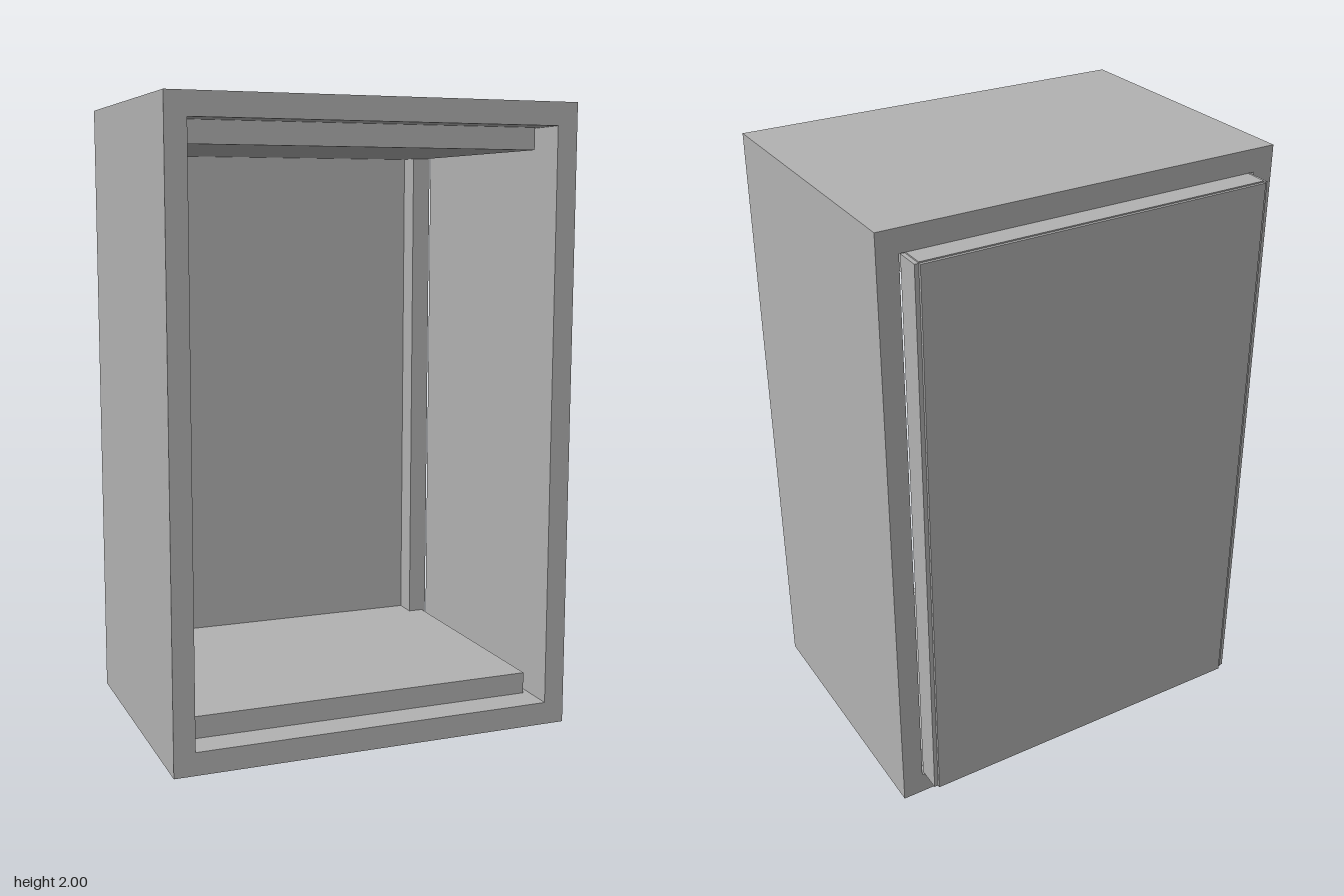
import * as THREE from 'three';

export function createModel() {
  const model = new THREE.Group();
  model.name = 'cabinet';
  const grey = new THREE.MeshStandardMaterial({ color: 0xb2b2b2 });
  grey.name = 'plain grey';

  // Box given by its lower and upper limits on each axis
  const board = (name, [x0, x1], [y0, y1], [z0, z1]) => {
    const mesh = new THREE.Mesh(new THREE.BoxGeometry(x1 - x0, y1 - y0, z1 - z0), grey);
    mesh.position.set((x0 + x1) / 2, (y0 + y1) / 2, (z0 + z1) / 2);
    mesh.name = name;
    model.add(mesh);
  };

  const W = 0.66, H = 2, inner = 0.592, wall = 0.073;
  const front = 0.495, back = -0.415;
  const railX = 0.572, low = 0.077, railH = 0.066;

  // Side walls with the upright posts standing behind them
  for (const [side, s] of [['left', 1], ['right', -1]]) {
    const span = (a, b) => (s > 0 ? [a, b] : [-b, -a]);
    board(side + 'Wall', span(inner, W), [0, H], [back, front]);
    board(side + 'Post', span(0.52, 0.585), [low, H - low], [-0.488, -0.408]);
  }

  // Top and bottom walls, each with an inner slab set back from the front
  board('bottomWall', [-inner, inner], [0, wall], [back, front]);
  board('topWall', [-inner, inner], [H - wall, H], [back, front]);
  board('bottomSlab', [-railX, railX], [wall, low + railH], [-0.488, 0.388]);
  board('topSlab', [-railX, railX], [H - low - railH, H - wall], [-0.488, 0.388]);

  // Thin panel closing the back
  board('backPanel', [-railX, railX], [low, H - low], [-0.497, -0.488]);

  return model;
}
